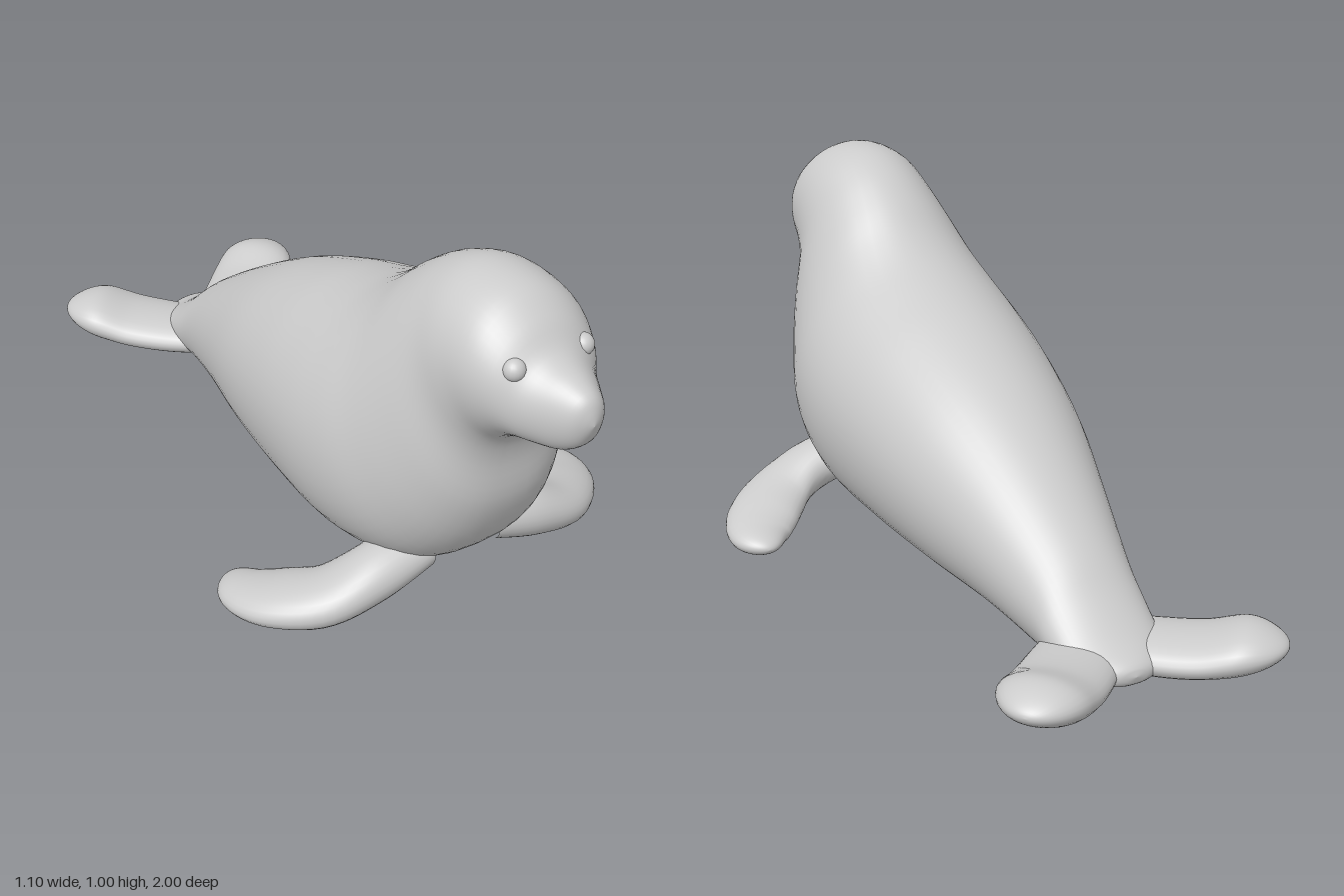
import * as THREE from 'three';

const grey = new THREE.MeshStandardMaterial({ color: 0xcccccc });
const UP = new THREE.Vector3(0, 1, 0);

// Skin over rings { c: centre, u, v: half axes }; box > 0 squares the lower half
function loft(rings, sides, box = 0) {
  const pos = [], idx = [];
  rings.forEach(({ c, u, v }, i) => {
    for (let j = 0; j < sides; j++) {
      const a = (j / sides) * Math.PI * 2, s = Math.sin(a);
      const co = Math.cos(a), k = s < 0 ? 1 - box : 1;
      const cu = Math.sign(co) * Math.pow(Math.abs(co), k);
      const p = c.clone().addScaledVector(u, cu).addScaledVector(v, s);
      pos.push(p.x, p.y, p.z);
      if (i < rings.length - 1) {
        const n = (j + 1) % sides, A = i * sides + j, B = i * sides + n;
        idx.push(A, B, A + sides, B, B + sides, A + sides);
      }
    }
  });
  const g = new THREE.BufferGeometry();
  g.setAttribute('position', new THREE.Float32BufferAttribute(pos, 3));
  g.setIndex(idx);
  g.computeVertexNormals();
  return g;
}

const spline = (pts) => new THREE.CatmullRomCurve3(pts, false, 'catmullrom', 0.5);

// Body: [top z, top y, bottom z, bottom y, half width] from tail to nose
const BODY = [
  [-0.87, 0.12, -0.87, 0.1, 0.02],
  [-0.85, 0.14, -0.85, 0.08, 0.07],
  [-0.79, 0.17, -0.78, 0.06, 0.125],
  [-0.7, 0.24, -0.7, 0.05, 0.14],
  [-0.6, 0.33, -0.6, 0.05, 0.15],
  [-0.4, 0.47, -0.4, 0.065, 0.2],
  [-0.2, 0.59, -0.15, 0.065, 0.26],
  [0, 0.68, 0.1, 0.065, 0.3],
  [0.15, 0.735, 0.35, 0.075, 0.32],
  [0.25, 0.78, 0.54, 0.135, 0.31],
  [0.33, 0.835, 0.66, 0.25, 0.275],
  [0.41, 0.905, 0.73, 0.4, 0.235],
  [0.5, 0.965, 0.74, 0.54, 0.2],
  [0.6, 1.0, 0.76, 0.61, 0.185],
  [0.72, 0.995, 0.8, 0.65, 0.17],
  [0.8, 0.95, 0.84, 0.67, 0.145],
  [0.86, 0.89, 0.88, 0.675, 0.11],
  [0.93, 0.865, 0.93, 0.685, 0.075],
  [0.98, 0.84, 0.97, 0.715, 0.045],
  [1.0, 0.79, 0.997, 0.77, 0.008],
];

function bodyGeometry() {
  const top = spline(BODY.map(([z, y, , , w]) => new THREE.Vector3(w, y, z)));
  const low = spline(BODY.map(([, , z, y, w]) => new THREE.Vector3(w, y, z)));
  const rings = [], n = 90;
  for (let i = 0; i <= n; i++) {
    const t = top.getPoint(i / n), b = low.getPoint(i / n), w = t.x;
    t.x = b.x = 0;
    const end = i === 0 || i === n ? 0 : 1;
    rings.push({
      c: t.clone().add(b).multiplyScalar(0.5),
      u: new THREE.Vector3(w * end, 0, 0),
      v: t.clone().sub(b).multiplyScalar(0.5 * end),
    });
  }
  return loft(rings, 48, 0.2);
}

// Flipper: rows of [x, y, z, half width, half thickness], rounded off at the tip
function flipperGeometry(rows, side, capStart) {
  const path = spline(rows.map(([x, y, z]) => new THREE.Vector3(x * side, y, z)));
  const size = spline(rows.map((r) => new THREE.Vector3(r[3], r[4], 0)));
  const rings = [], n = 40;
  for (let i = 0; i <= n; i++) {
    const t = 1 - Math.pow(1 - i / n, 1.6); // denser towards the tip
    const k = t > capStart ? Math.sqrt(Math.max(0, 1 - ((t - capStart) / (1 - capStart)) ** 2)) : 1;
    const d = path.getTangent(t).setY(0).normalize(), s = size.getPoint(t);
    rings.push({
      c: path.getPoint(t),
      u: UP.clone().cross(d).multiplyScalar(s.x * k),
      v: UP.clone().multiplyScalar(s.y * k),
    });
  }
  return loft(rings, 28);
}

const FRONT = [
  [0.1, 0.17, 0.5, 0.08, 0.06],
  [0.24, 0.13, 0.505, 0.08, 0.07],
  [0.35, 0.085, 0.47, 0.095, 0.062],
  [0.43, 0.06, 0.39, 0.1, 0.053],
  [0.47, 0.045, 0.31, 0.085, 0.042],
  [0.475, 0.04, 0.225, 0.07, 0.036],
];
const TAIL = [
  [0.01, 0.11, -0.66, 0.09, 0.045],
  [0.1, 0.11, -0.755, 0.11, 0.05],
  [0.19, 0.12, -0.84, 0.115, 0.052],
  [0.27, 0.145, -0.91, 0.11, 0.058],
  [0.345, 0.155, -0.975, 0.1, 0.045],
];

export function createModel() {
  const model = new THREE.Group();
  const add = (name, geometry) => {
    const mesh = new THREE.Mesh(geometry, grey);
    mesh.name = name;
    model.add(mesh);
    return mesh;
  };

  add('body', bodyGeometry());
  for (const [label, side] of [['left', 1], ['right', -1]]) {
    add(label + 'FrontFlipper', flipperGeometry(FRONT, side, 0.74));
    add(label + 'TailFlipper', flipperGeometry(TAIL, side, 0.68));
    add(label + 'Eye', new THREE.SphereGeometry(0.027, 20, 14)).position.set(0.093 * side, 0.865, 0.832);
  }
  return model;
}
